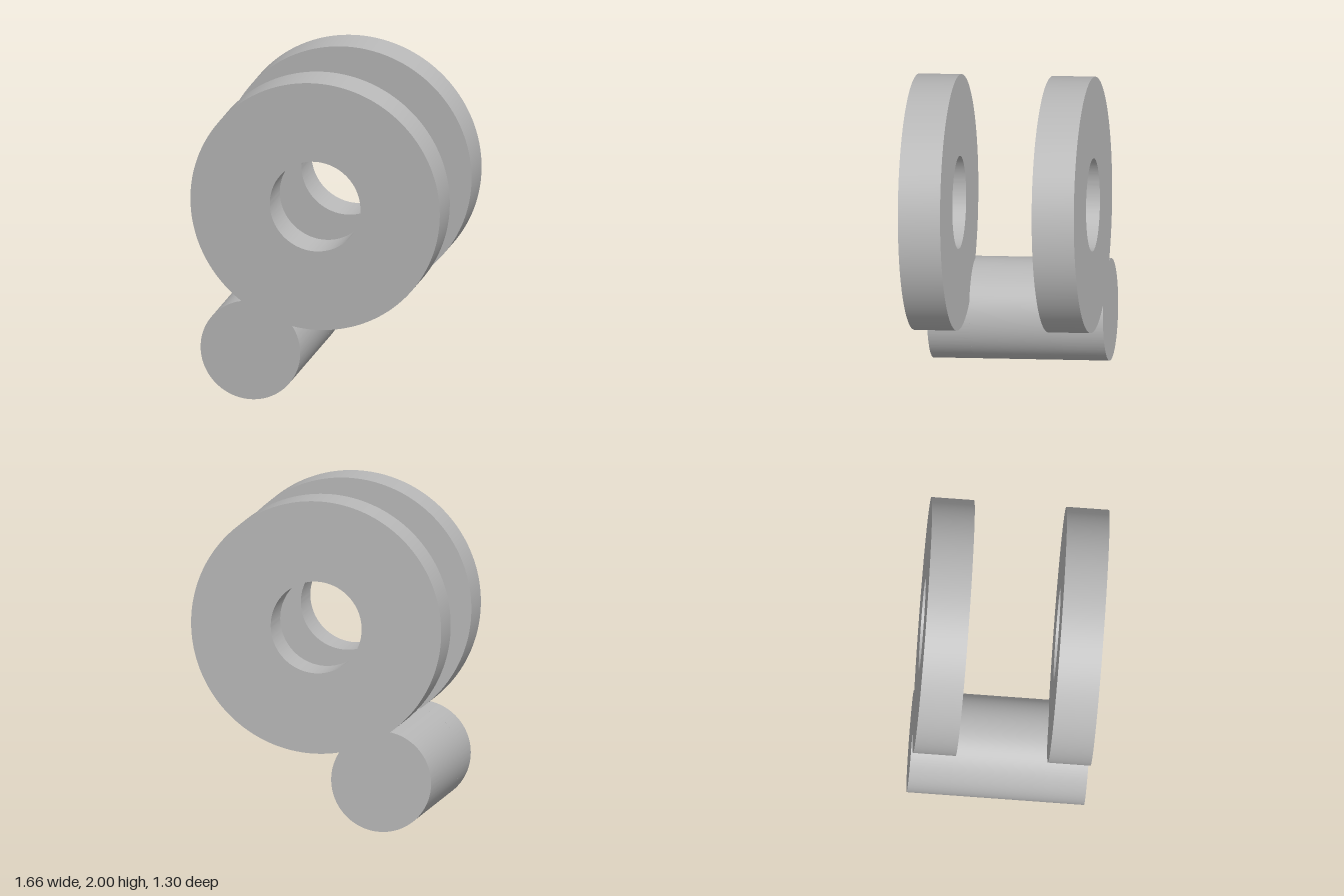
import * as THREE from 'three';
import { toCreasedNormals } from 'three/addons/utils/BufferGeometryUtils.js';

const R = 0.751, HOLE = 0.273, BAR_R = 0.3;   // ring, hole and bar radii
const THICK = 0.25, LENGTH = 1.042;           // ring thickness, overall length
const BAR = new THREE.Vector2(-0.401, -0.896); // bar axis relative to ring axis

// Outline of a ring merged with the round bar end, with the ring's hole
function plateShape() {
  const d = BAR.length(), phi = BAR.angle();
  const a = Math.acos((d * d + R * R - BAR_R * BAR_R) / (2 * d * R));
  const b = Math.acos((d * d + BAR_R * BAR_R - R * R) / (2 * d * BAR_R));
  const shape = new THREE.Shape();
  shape.absarc(0, 0, R, phi + a, phi - a + 2 * Math.PI, false);
  shape.absarc(BAR.x, BAR.y, BAR_R, phi + Math.PI + b, phi + 3 * Math.PI - b, false);
  const hole = new THREE.Path();
  hole.absarc(0, 0, HOLE, 0, 2 * Math.PI, true);
  shape.holes.push(hole);
  return shape;
}

export function createModel() {
  const model = new THREE.Group();
  model.name = 'twinRingBracket';
  const grey = new THREE.MeshStandardMaterial({ color: 0xb8b8b8 });
  grey.name = 'plain grey';

  // Two identical rings, each carrying one end of the bar
  const ringGeometry = toCreasedNormals(
    new THREE.ExtrudeGeometry(plateShape(), { depth: THICK, bevelEnabled: false, curveSegments: 96 }), 0.5);
  for (const [name, z] of [['frontRing', LENGTH / 2 - THICK], ['backRing', -LENGTH / 2]]) {
    const ring = new THREE.Mesh(ringGeometry, grey);
    ring.name = name;
    ring.position.z = z;
    model.add(ring);
  }

  // Bar running between the rings
  const barGeometry = new THREE.CylinderGeometry(BAR_R, BAR_R, LENGTH - 2 * THICK, 96, 1, true);
  barGeometry.rotateX(Math.PI / 2);
  const bar = new THREE.Mesh(barGeometry, grey);
  bar.name = 'connectingBar';
  bar.position.set(BAR.x, BAR.y, 0);
  model.add(bar);

  // The whole piece is tilted slightly
  model.rotation.set(THREE.MathUtils.degToRad(3), THREE.MathUtils.degToRad(10), 0, 'YXZ');
  model.position.set(-0.003, 1.222, -0.002);
  return model;
}
